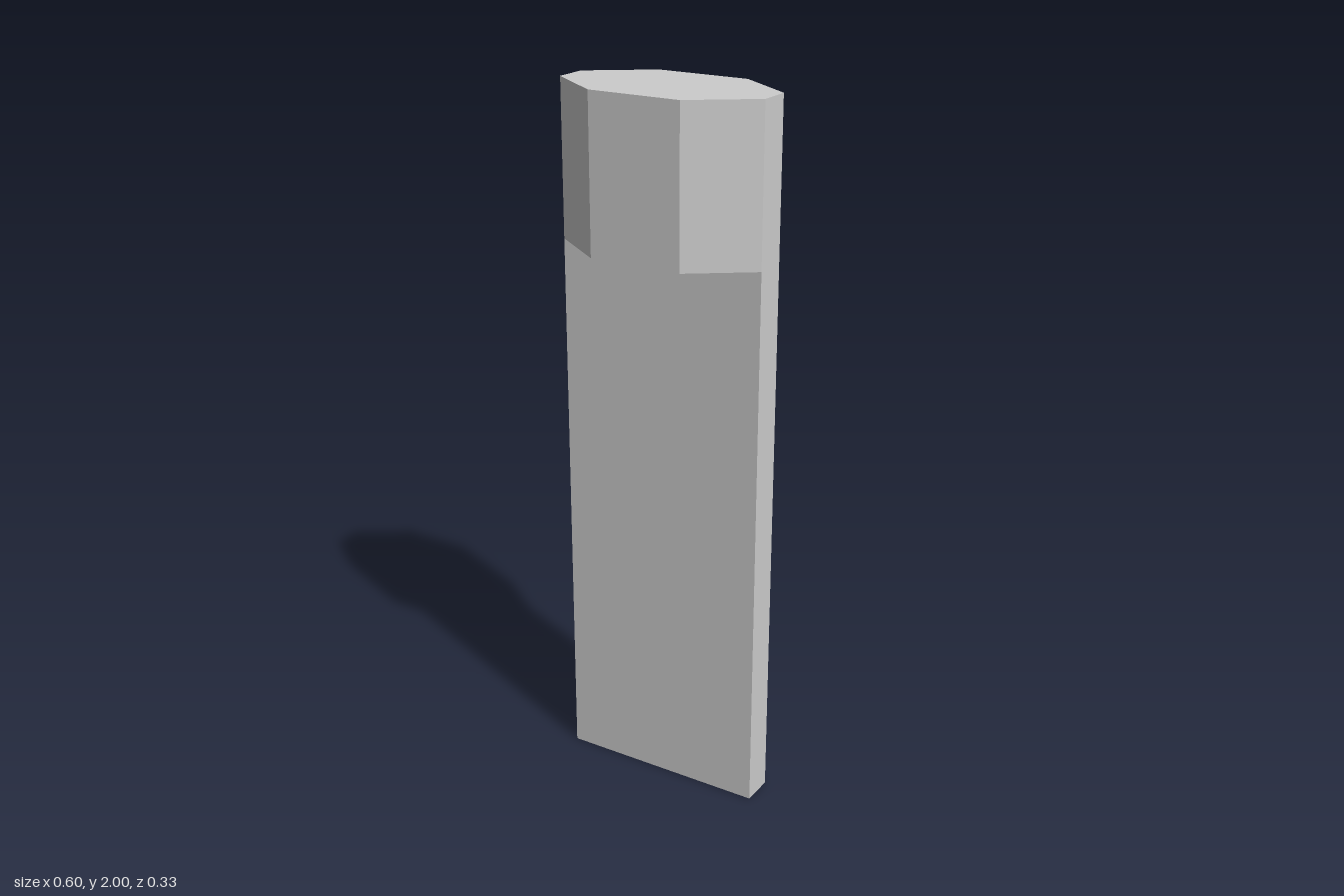
import * as THREE from 'three';

const HALF_W = 0.3, HALF_T = 0.047, SHOULDER = 1.57, TOP = 2;
const HOLE_DEPTH = 0.2, HOLE_R = 0.025;

// Elongated octagon outline of the head
function headOutline() {
  return new THREE.Shape([
    [HALF_W, -HALF_T], [HALF_W, HALF_T], [0.133, 0.167], [-0.133, 0.167],
    [-HALF_W, HALF_T], [-HALF_W, -HALF_T], [-0.133, -0.167], [0.133, -0.167],
  ].map(([x, y]) => new THREE.Vector2(x, y)));
}

// Extrude an outline upwards from y0 to y1
function prism(shape, y0, y1) {
  return new THREE.ExtrudeGeometry(shape, { depth: y1 - y0, bevelEnabled: false, curveSegments: 12 })
    .rotateX(-Math.PI / 2)
    .translate(0, y0, 0);
}

export function createModel() {
  const model = new THREE.Group();
  const material = new THREE.MeshStandardMaterial({ color: 0xcccccc });
  const add = (name, geometry) => {
    const mesh = new THREE.Mesh(geometry, material);
    mesh.name = name;
    model.add(mesh);
  };

  // Flat slab standing on the ground
  add('blade', new THREE.BoxGeometry(HALF_W * 2, SHOULDER, HALF_T * 2).translate(0, SHOULDER / 2, 0));

  // Lower head with two blind holes in the underside on each face
  const drilled = headOutline();
  for (const x of [-0.087, 0.087]) {
    for (const z of [-0.13, 0.13]) {
      drilled.holes.push(new THREE.Path().absarc(x, z, HOLE_R, 0, Math.PI * 2, true));
    }
  }
  add('drilledHead', prism(drilled, SHOULDER, SHOULDER + HOLE_DEPTH));

  // Solid upper head closing the holes
  add('headCap', prism(headOutline(), SHOULDER + HOLE_DEPTH, TOP));

  return model;
}
